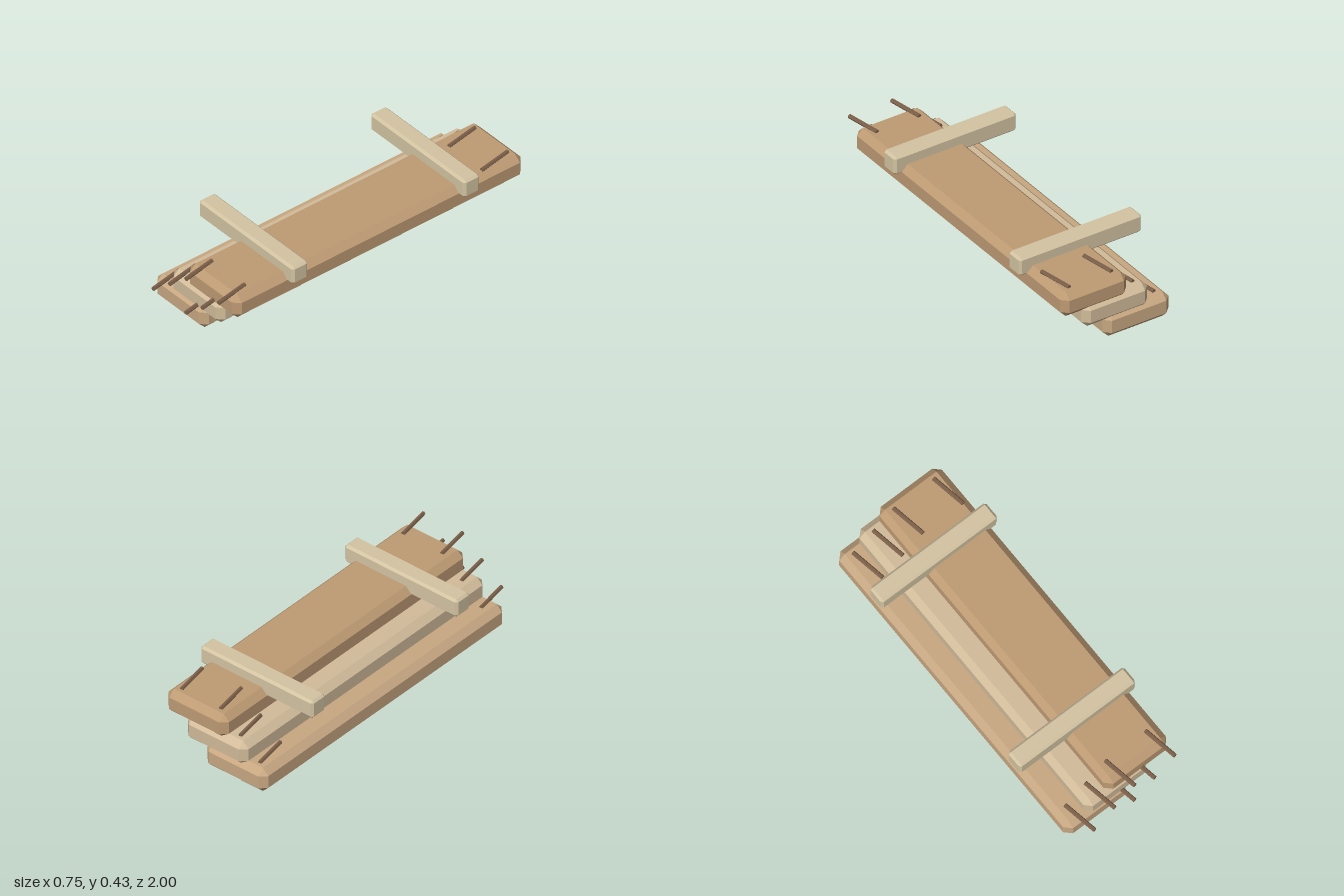
import * as THREE from 'three';
import { ConvexGeometry } from 'three/addons/geometries/ConvexGeometry.js';

const material = (color) => new THREE.MeshStandardMaterial({ color, flatShading: true });

// Box with every edge and corner cut off by the same chamfer
function chamferedBox(width, height, depth, chamfer) {
  const half = [width / 2, height / 2, depth / 2];
  const points = [];
  for (const sx of [-1, 1]) for (const sy of [-1, 1]) for (const sz of [-1, 1]) {
    const signs = [sx, sy, sz];
    for (let outer = 0; outer < 3; outer++) {
      const c = half.map((h, i) => signs[i] * (i === outer ? h : h - chamfer));
      points.push(new THREE.Vector3(...c));
    }
  }
  return new ConvexGeometry(points);
}

export function createModel() {
  const model = new THREE.Group();
  model.name = 'plankStack';

  const add = (parent, name, geometry, mat, x, y, z) => {
    const mesh = new THREE.Mesh(geometry, mat);
    mesh.name = name;
    mesh.position.set(x, y, z);
    parent.add(mesh);
  };

  // Shared shapes
  const plankHeight = 0.146;
  const plankGeometry = chamferedBox(0.405, plankHeight, 1.91, 0.036);
  const battenGeometry = chamferedBox(0.752, 0.109, 0.105, 0.013);
  const pegGeometry = new THREE.CylinderGeometry(0.012, 0.012, 0.204, 6)
    .rotateY(Math.PI / 2).rotateX(Math.PI / 2).rotateY(0.172);
  const pegMaterial = material(0x7c6049);

  // Three planks, each stepped sideways and up, with a slanted peg near each corner
  const colors = [0xc8a882, 0xd2bc9a, 0xbe9b74];
  colors.forEach((color, i) => {
    const layer = new THREE.Group();
    layer.name = 'plankLayer' + (i + 1);
    layer.position.set(-0.1315 + i * 0.1305, i * 0.1085, 0);
    model.add(layer);
    add(layer, 'plank', plankGeometry, material(color), 0, plankHeight / 2, -0.045);
    for (const x of [-0.112, 0.148]) {
      for (const z of [0.897, -0.843]) {
        add(layer, 'peg', pegGeometry, pegMaterial, x, plankHeight + 0.004, z);
      }
    }
  });

  // Two battens across the top
  const battenMaterial = material(0xd3c4a2);
  for (const z of [0.521, -0.613]) {
    add(model, 'batten', battenGeometry, battenMaterial, 0, 0.3725, z);
  }

  return model;
}
